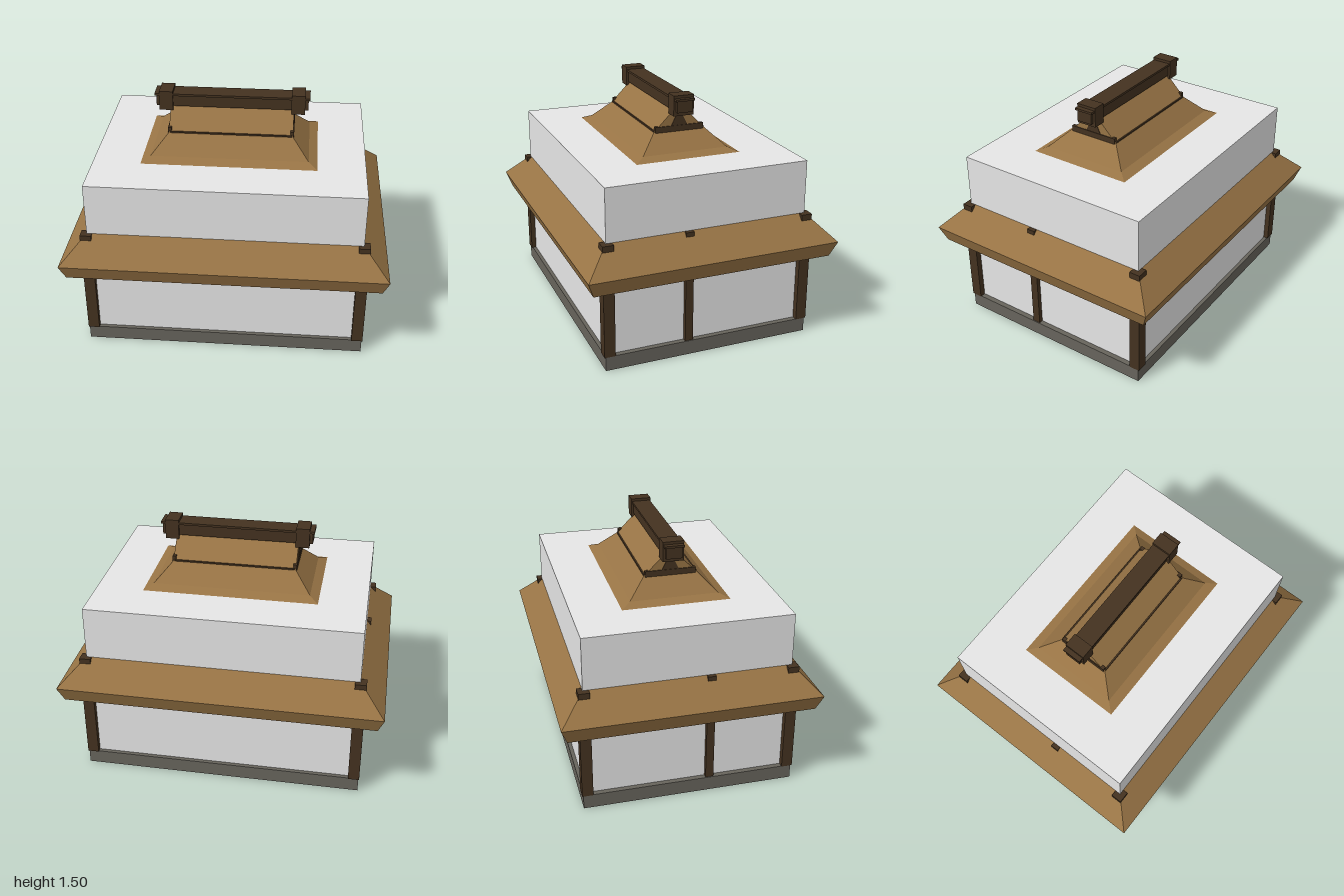
import * as THREE from 'three';

const material = (name, color) => {
  const m = new THREE.MeshStandardMaterial({ color });
  m.name = name;
  return m;
};

// Stacks rectangular rings [halfX, halfZ, y] into hard-edged sloping faces
function rectLoft(rings) {
  const corners = ([x, z, y]) => [[x, y, z], [x, y, -z], [-x, y, -z], [-x, y, z]];
  const positions = [];
  for (let r = 0; r < rings.length - 1; r++) {
    const a = corners(rings[r]);
    const b = corners(rings[r + 1]);
    for (let i = 0; i < 4; i++) {
      const j = (i + 1) % 4;
      positions.push(...a[i], ...a[j], ...b[j], ...a[i], ...b[j], ...b[i]);
    }
  }
  const g = new THREE.BufferGeometry();
  g.setAttribute('position', new THREE.Float32BufferAttribute(positions, 3));
  g.computeVertexNormals();
  return g;
}

export function createModel() {
  const model = new THREE.Group();
  model.name = 'pavilion';

  const plaster = material('plaster', 0xe6e6e6);
  const roof = material('roof tan', 0x987445);
  const wood = material('dark wood', 0x443220);
  const stone = material('stone', 0x67645c);

  const add = (name, geometry, mat) => {
    const mesh = new THREE.Mesh(geometry, mat);
    mesh.name = name;
    model.add(mesh);
    return mesh;
  };
  // Box given by its min and max on each axis
  const box = (name, mat, x0, x1, y0, y1, z0, z1) =>
    add(name, new THREE.BoxGeometry(x1 - x0, y1 - y0, z1 - z0), mat)
      .position.set((x0 + x1) / 2, (y0 + y1) / 2, (z0 + z1) / 2);

  // Foundation and main body
  box('foundation', stone, -0.875, 0.875, 0, 0.09, -0.66, 0.66);
  box('walls', plaster, -0.843, 0.843, 0.09, 1.13, -0.636, 0.636);

  // Skirt roof around the body: soffit, leaning fascia, slope
  add('skirtRoof', rectLoft([
    [0.843, 0.636, 0.542], [0.965, 0.753, 0.542], [1, 0.79, 0.64], [0.843, 0.636, 0.797],
  ]), roof);

  // Upper roof: flared eave, hip, then gable
  add('upperRoof', rectLoft([
    [0.545, 0.335, 1.13], [0.49, 0.275, 1.155], [0.387, 0.165, 1.265], [0.387, 0, 1.43],
  ]), roof);

  // Ridge beam and its cap
  box('ridgeBeam', wood, -0.475, 0.475, 1.395, 1.466, -0.05, 0.05);
  box('ridgeCap', wood, -0.485, 0.485, 1.466, 1.48, -0.06, 0.06);

  // Thin triangular panel for the gable ends
  const triangle = new THREE.Shape([
    new THREE.Vector2(-0.055, 1.29), new THREE.Vector2(0.055, 1.29), new THREE.Vector2(0, 1.4),
  ]);
  const panel = new THREE.ExtrudeGeometry(triangle, { depth: 0.004, bevelEnabled: false });

  for (const s of [-1, 1]) {
    const side = (name, x0, x1, ...yz) =>
      box(name, wood, Math.min(s * x0, s * x1), Math.max(s * x0, s * x1), ...yz);

    side('ridgeEndBlock', 0.37, 0.455, 1.372, 1.497, -0.065, 0.065);
    side('gableBar', 0.37, 0.393, 1.258, 1.295, -0.158, 0.158);

    const gable = add('gablePanel', panel, wood);
    gable.rotation.y = s * Math.PI / 2;
    gable.position.x = s * 0.386;

    // Narrow strip along each long slope
    box('slopeStrip', wood, -0.38, 0.38, 1.26, 1.273, s * 0.158 - 0.008, s * 0.158 + 0.008);

    // Posts at the corners and on each side wall
    side('frontCornerPost', 0.81, 0.88, 0.09, 0.797, 0.6, 0.668);
    side('backCornerPost', 0.81, 0.88, 0.09, 0.797, -0.668, -0.6);
    side('sidePost', 0.82, 0.87, 0.09, 0.797, 0.104, 0.154);
  }

  return model;
}
